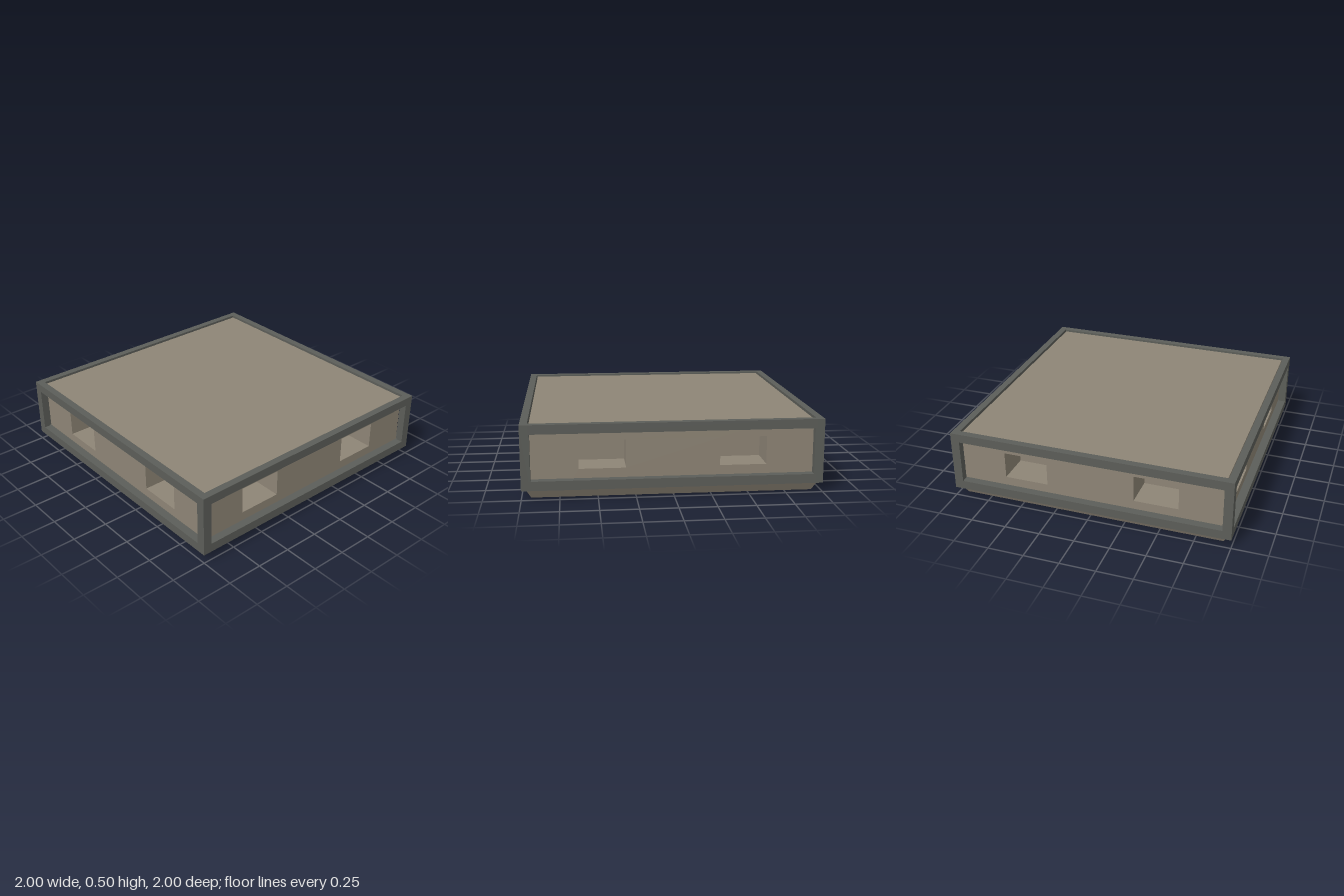
import * as THREE from 'three';

export function createModel() {
  const group = new THREE.Group();
  const tan = new THREE.MeshStandardMaterial({ color: 0x8e8576 });
  tan.name = 'warm stone';
  const grey = new THREE.MeshStandardMaterial({ color: 0x5c5e59 });
  grey.name = 'dark grey';

  const add = (name, geometry, material, x = 0, y = 0, z = 0, parent = group) => {
    const mesh = new THREE.Mesh(geometry, material);
    mesh.name = name;
    mesh.position.set(x, y, z);
    parent.add(mesh);
    return mesh;
  };

  const FACE = 0.942, DEPTH = 0.232, CORE = FACE - DEPTH;
  const LOW = 0.0625, TOP = 0.4875;

  // Solid core behind the pocketed sides
  add('core', new THREE.BoxGeometry(CORE * 2, TOP - LOW, CORE * 2), tan, 0, (TOP + LOW) / 2, 0);

  // Side wall with two rectangular pockets
  const rect = (path, x0, y0, x1, y1) =>
    path.moveTo(x0, y0).lineTo(x1, y0).lineTo(x1, y1).lineTo(x0, y1).closePath();
  const wallGeometry = (half) => {
    const shape = new THREE.Shape();
    rect(shape, -half, LOW, half, TOP);
    for (const x of [-0.625, 0.3125]) {
      const hole = new THREE.Path();
      rect(hole, x, 0.1875, x + 0.3125, 0.378);
      shape.holes.push(hole);
    }
    return new THREE.ExtrudeGeometry(shape, { depth: DEPTH, bevelEnabled: false });
  };

  // Four sides: pocketed wall, top and bottom rails
  for (let i = 0; i < 4; i++) {
    const side = new THREE.Group();
    side.name = 'side';
    side.rotation.y = i * Math.PI / 2;
    group.add(side);
    add('pocketWall', wallGeometry(i % 2 ? CORE : FACE), tan, 0, 0, CORE, side);
    add('topRail', new THREE.BoxGeometry(1.9, 0.0625, 0.05), grey, 0, 0.46875, 0.975, side);
    add('bottomRail', new THREE.BoxGeometry(1.9, 0.0625, 0.0575), grey, 0, 0.09375, 0.97125, side);
  }

  // Corner posts, an L in plan
  const ell = new THREE.Shape();
  ell.moveTo(1, 1).lineTo(0.9375, 1).lineTo(0.9375, 0.95).lineTo(0.95, 0.95)
    .lineTo(0.95, 0.9375).lineTo(1, 0.9375).closePath();
  const postGeometry = new THREE.ExtrudeGeometry(ell, { depth: 0.4375, bevelEnabled: false });
  postGeometry.rotateX(-Math.PI / 2);
  for (let i = 0; i < 4; i++) {
    add('cornerPost', postGeometry, grey, 0, 0.0625, 0).rotation.y = i * Math.PI / 2;
  }

  // Tapered base
  const base = new THREE.CylinderGeometry(0.97 * Math.SQRT2, 0.9375 * Math.SQRT2, LOW, 4)
    .rotateY(Math.PI / 4).toNonIndexed();
  base.computeVertexNormals();
  add('base', base, tan, 0, LOW / 2, 0);

  return group;
}
